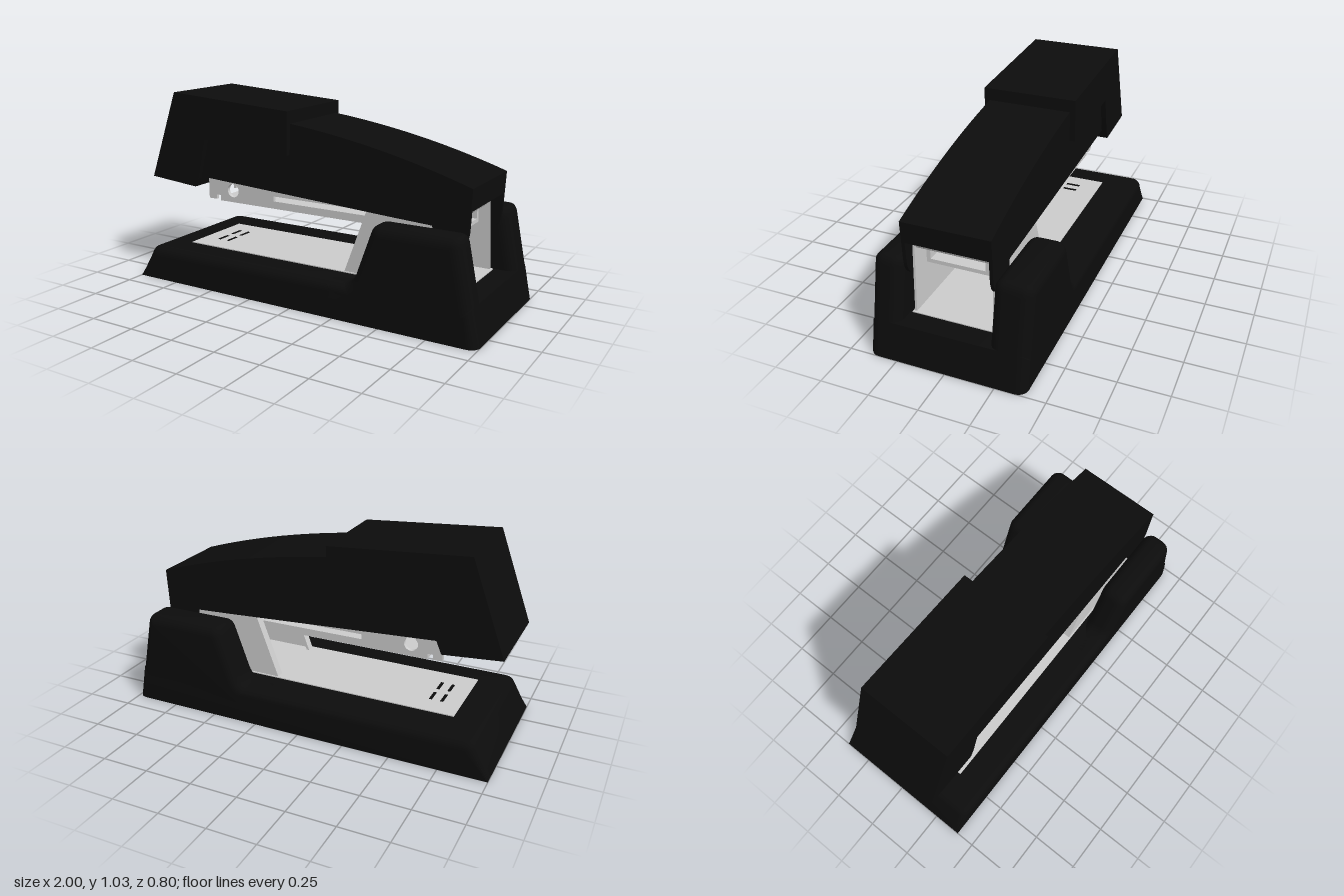
import * as THREE from 'three';
import { toCreasedNormals } from 'three/addons/utils/BufferGeometryUtils.js';

const black = new THREE.MeshStandardMaterial({ color: 0x0c0c0c });
const grey = new THREE.MeshStandardMaterial({ color: 0xcccccc });
const MID = 0.02; // centre line of the channel and the arm

export function createModel() {
  const model = new THREE.Group();

  function add(name, geometry, material) {
    const mesh = new THREE.Mesh(geometry, material);
    mesh.name = name;
    model.add(mesh);
    return mesh;
  }

  // Flat plate: side outline extruded from z0 to z1
  function slab(name, points, z0, z1, material, holes = []) {
    const shape = Array.isArray(points) ? new THREE.Shape(points.map(p => new THREE.Vector2(...p))) : points;
    shape.holes.push(...holes);
    const geo = new THREE.ExtrudeGeometry(shape, { depth: z1 - z0, bevelEnabled: false, curveSegments: 14 });
    geo.translate(0, 0, z0);
    return add(name, toCreasedNormals(geo, 0.5), material);
  }

  function box(name, x0, x1, y0, y1, z0, z1, material) {
    const geo = new THREE.BoxGeometry(x1 - x0, y1 - y0, z1 - z0);
    geo.translate((x0 + x1) / 2, (y0 + y1) / 2, (z0 + z1) / 2);
    return add(name, geo, material);
  }

  // Outline lofted along z, drawn in at both ends to round the edges but not the foot
  function rounded(name, shape, z0, z1, r) {
    const ring = shape.getPoints(6);
    if (ring[0].distanceTo(ring[ring.length - 1]) < 1e-6) ring.pop();
    const n = ring.length;
    const inward = ring.map((p, i) => {
      if (p.y < 1e-6) return new THREE.Vector2(p.x > 0.9 ? -1 : 0, 0);
      const a = p.clone().sub(ring[(i + n - 1) % n]).normalize();
      const b = ring[(i + 1) % n].clone().sub(p).normalize();
      return new THREE.Vector2(-a.y - b.y, a.x + b.x).normalize();
    });
    const layers = [];
    const steps = 6;
    for (let k = 0; k <= steps; k++) {
      const t = (k / steps) * Math.PI / 2;
      layers.push([z0 + r * (1 - Math.cos(t)), r * (1 - Math.sin(t))]);
    }
    for (let k = steps; k >= 0; k--) layers.push([z0 + z1 - layers[k][0], layers[k][1]]);
    const pos = [], index = [];
    for (const [z, inset] of layers) {
      ring.forEach((p, i) => pos.push(p.x + inward[i].x * inset, p.y + inward[i].y * inset, z));
    }
    const last = (layers.length - 1) * n;
    for (let k = 0; k < layers.length - 1; k++) {
      for (let i = 0; i < n; i++) {
        const a = k * n + i, b = k * n + (i + 1) % n;
        index.push(a, b, b + n, a, b + n, a + n);
      }
    }
    for (const [a, b, c] of THREE.ShapeUtils.triangulateShape(ring, [])) {
      index.push(a, c, b, last + a, last + b, last + c);
    }
    const geo = new THREE.BufferGeometry();
    geo.setAttribute('position', new THREE.Float32BufferAttribute(pos, 3));
    geo.setIndex(index);
    return add(name, toCreasedNormals(geo, 0.6), black);
  }

  // Base tray
  const tray = new THREE.Shape();
  tray.moveTo(-1, 0);
  tray.lineTo(1, 0);
  tray.lineTo(0.962, 0.185);
  tray.lineTo(-0.87, 0.185);
  tray.quadraticCurveTo(-0.915, 0.185, -0.93, 0.15);
  tray.closePath();
  rounded('baseTray', tray, -0.4, 0.4, 0.05);

  // Cheeks on both sides of the hinge
  const cheek = new THREE.Shape();
  cheek.moveTo(0.2, 0);
  cheek.lineTo(1, 0);
  cheek.lineTo(0.908, 0.455);
  cheek.quadraticCurveTo(0.9, 0.505, 0.86, 0.505);
  cheek.lineTo(0.5, 0.505);
  cheek.quadraticCurveTo(0.455, 0.505, 0.44, 0.455);
  cheek.lineTo(0.365, 0.245);
  cheek.quadraticCurveTo(0.345, 0.185, 0.285, 0.185);
  cheek.lineTo(0.2, 0.185);
  cheek.closePath();
  rounded('leftCheek', cheek, 0.245, 0.4, 0.055).name = 'frontCheek';
  rounded('backCheek', cheek, -0.4, -0.205, 0.055);

  // Anvil plate with staple grooves
  box('anvilPlate', -0.76, 0.85, 0.18, 0.19, MID - 0.215, MID + 0.215, grey);
  for (const x of [-0.66, -0.6]) {
    for (const side of [-1, 1]) {
      const z = MID + side * 0.06;
      box('anvilGroove', x - 0.008, x + 0.008, 0.185, 0.192, z - 0.04, z + 0.04, black);
    }
  }

  // Parts that are mirrored about the channel centre
  for (const side of [-1, 1]) {
    const pair = (name, pts, a, b, mat, holes) => slab(name, pts,
      MID + Math.min(side * a, side * b), MID + Math.max(side * a, side * b), mat, holes);

    // Hinge bracket wall with its folded front flange
    pair('bracketWall', [[0.22, 0.185], [0.84, 0.185], [0.82, 0.59], [0.37, 0.59]], 0.196, 0.207, grey);
    pair('bracketFlange', [[0.22, 0.185], [0.235, 0.185], [0.385, 0.59], [0.37, 0.59]], 0.162, 0.207, grey);

    // Magazine wall with round hole and long slot
    const hole = new THREE.Path().absarc(-0.505, 0.505, 0.037, 0, Math.PI * 2, true);
    const slot = new THREE.Path([[-0.24, 0.48], [-0.24, 0.507], [0.5, 0.507], [0.5, 0.48]]
      .map(p => new THREE.Vector2(...p)));
    pair('magazineWall', [[-0.67, 0.445], [-0.62, 0.445], [-0.62, 0.47], [-0.592, 0.47], [-0.592, 0.445],
      [0.78, 0.445], [0.78, 0.54], [0.5, 0.59], [-0.67, 0.62]], 0.14, 0.16, grey, [hole, slot]);
    const z = MID + side * 0.082;
    box('magazineEndTab', -0.66, -0.645, 0.46, 0.515, z - 0.037, z + 0.037, grey);

    // Arm side wall with a rounded hinge ear
    const arm = new THREE.Shape();
    arm.moveTo(-0.7, 0.58);
    arm.lineTo(0.5, 0.512);
    arm.lineTo(0.7, 0.502);
    arm.quadraticCurveTo(0.71, 0.395, 0.79, 0.395);
    arm.quadraticCurveTo(0.875, 0.395, 0.882, 0.495);
    arm.lineTo(0.893, 0.7);
    arm.quadraticCurveTo(0.43, 0.855, -0.09, 0.915);
    arm.lineTo(-0.7, 0.93);
    arm.closePath();
    pair('armSide', arm, 0.207, 0.224, black);
  }

  // Magazine floor and hinge pin
  box('magazineFloor', -0.592, 0.78, 0.44, 0.46, MID - 0.16, MID + 0.16, grey);
  const pin = new THREE.CylinderGeometry(0.038, 0.038, 0.414, 24);
  pin.rotateX(Math.PI / 2);
  pin.translate(0.78, 0.552, MID);
  add('hingePin', toCreasedNormals(pin, 0.6), grey);

  // Arm top, folded down at the rear end
  const top = new THREE.Shape();
  top.moveTo(0.887, 0.59);
  top.lineTo(0.893, 0.7);
  top.quadraticCurveTo(0.43, 0.855, -0.09, 0.915);
  top.lineTo(-0.4, 0.92);
  top.lineTo(-0.4, 0.885);
  top.lineTo(-0.09, 0.88);
  top.quadraticCurveTo(0.43, 0.82, 0.865, 0.675);
  top.lineTo(0.86, 0.59);
  top.closePath();
  slab('armTop', top, MID - 0.224, MID + 0.224, black);

  // Head cap over the front of the arm
  slab('headCap', [[-0.99, 0.55], [-0.69, 0.525], [-0.665, 0.585], [-0.615, 0.79], [-0.09, 0.755],
    [-0.085, 0.98], [-0.815, 1.03]], MID - 0.253, MID + 0.253, black);

  return model;
}
